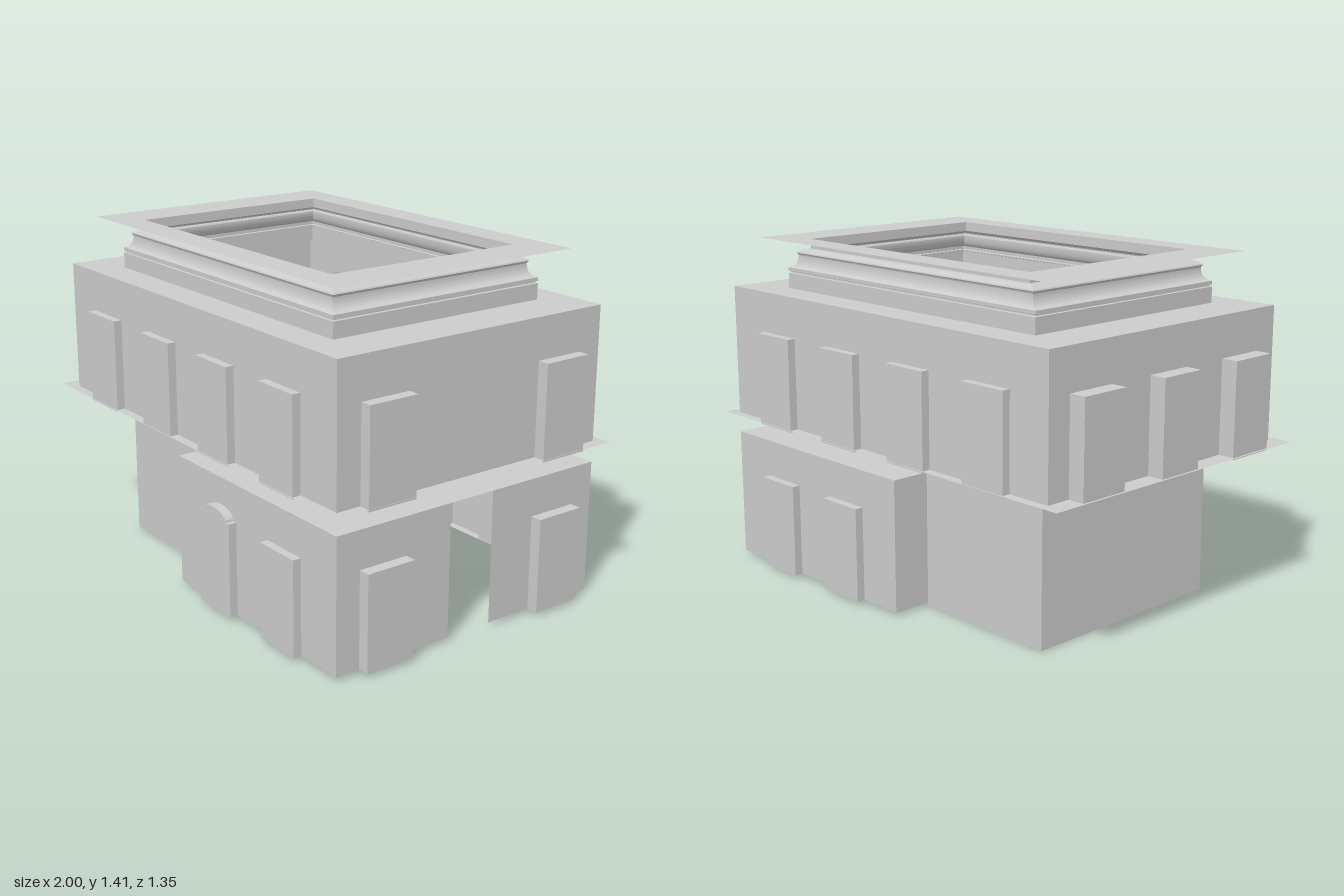
import * as THREE from 'three';

const mat = new THREE.MeshStandardMaterial({ color: 0xcccccc, side: THREE.DoubleSide });
const UP_FLOOR = 0.64, UP_TOP = 1.2, LOW_FLOOR = 0.015, LOW_TOP = 0.56;
const WALL_Z = 0.635, NECK_X = 0.73, NECK_Z = 0.468, LOW_X = -0.09;

function add(parent, name, geometry, x = 0, y = 0, z = 0) {
  const mesh = new THREE.Mesh(geometry, mat);
  mesh.name = name;
  mesh.position.set(x, y, z);
  parent.add(mesh);
  return mesh;
}

function rect(T, x0, y0, x1, y1) {
  return new T([[x0, y0], [x1, y0], [x1, y1], [x0, y1]].map(p => new THREE.Vector2(...p)));
}

// Thin horizontal plate, optionally with a rectangular opening [x0, x1, halfZ]
function plate(parent, name, y, x0, x1, halfZ, hole) {
  const s = rect(THREE.Shape, x0, -halfZ, x1, halfZ);
  if (hole) s.holes.push(rect(THREE.Path, hole[0], -hole[2], hole[1], hole[2]));
  add(parent, name, new THREE.ShapeGeometry(s).rotateX(-Math.PI / 2), 0, y);
}

// Thin wall with niches that bulge outwards and are open to the room.
// u runs along the wall, the local +z side is outside.
function wall(parent, name, angle, dist, u0, u1, y0, y1, niches = [], top = 0, depth = 0.035) {
  const g = new THREE.Group();
  g.name = name;
  const s = rect(THREE.Shape, u0, y0, u1, y1);
  for (const [a, b] of niches) {
    s.holes.push(rect(THREE.Path, a, y0 + 0.0005, b, top));
    const box = new THREE.BoxGeometry(b - a, top - y0, depth);
    box.setIndex(Array.from(box.index.array).slice(0, 30)); // no face on the room side
    box.clearGroups();
    add(g, 'niche', box, (a + b) / 2, (y0 + top) / 2, depth / 2);
  }
  add(g, 'wallPanel', new THREE.ShapeGeometry(s));
  g.rotation.y = angle;
  g.position.set(Math.sin(angle) * dist, 0, Math.cos(angle) * dist);
  parent.add(g);
}

// Stepped side profile rising towards negative u, with a level top to uEnd
function stepShape(u0, y0, run, rise, n, uEnd) {
  const s = new THREE.Shape();
  s.moveTo(u0, 0);
  if (y0 > 0) s.lineTo(u0, y0);
  for (let i = 0; i < n; i++) {
    s.lineTo(u0 - run * i, y0 + rise * (i + 1));
    s.lineTo(u0 - run * (i + 1), y0 + rise * (i + 1));
  }
  s.lineTo(uEnd, y0 + rise * n);
  s.lineTo(uEnd, 0);
  return s;
}

// Rectangular moulding: profile of [outward factor, y] swept round four sides
function cornice(parent) {
  const profile = [[1, 1.2], [1, 1.265], [0.9, 1.267], [0.9, 1.272], [1, 1.274], [1, 1.288]];
  for (let i = 0; i <= 8; i++) {
    const a = (i / 8) * Math.PI / 2;
    profile.push([0.94 - 0.4 * Math.sin(a), 1.29 + 0.05 * (1 - Math.cos(a))]);
  }
  profile.push([0.57, 1.345], [0.63, 1.35], [0.6, 1.355], [0.3, 1.368], [0, 1.37], [0, 1.41]);
  const corner = (p, k) => {
    const [sx, sz] = [[1, 1], [1, -1], [-1, -1], [-1, 1]][k % 4];
    return [0.015 + sx * (0.647 + 0.085 * p[0]), p[1], sz * (0.44 + 0.057 * p[0])];
  };
  const pos = [];
  for (let i = 0; i + 1 < profile.length; i++) {
    for (let k = 0; k < 4; k++) {
      const a = corner(profile[i], k), b = corner(profile[i], k + 1);
      const c = corner(profile[i + 1], k + 1), d = corner(profile[i + 1], k);
      pos.push(...a, ...b, ...c, ...a, ...c, ...d);
    }
  }
  const g = new THREE.BufferGeometry();
  g.setAttribute('position', new THREE.Float32BufferAttribute(pos, 3));
  g.computeVertexNormals();
  add(parent, 'cornice', g);
}

// Panelled double door with frame and curved pediment
function door(parent) {
  const g = new THREE.Group();
  g.name = 'door';
  const box = (name, w, h, d, x, y, z) => add(g, name, new THREE.BoxGeometry(w, h, d), x, y, z);
  box('doorLeaf', 0.17, 0.36, 0.008, 0, 0.195, 0.012);
  for (const s of [-1, 1]) {
    box('doorPost', 0.02, 0.37, 0.022, s * 0.092, 0.2, 0.01);
    for (let r = 0; r < 3; r++) box('doorPanel', 0.055, 0.085, 0.008, s * 0.04, 0.085 + r * 0.108, 0.006);
  }
  box('doorLintel', 0.205, 0.02, 0.03, 0, 0.394, 0.012);
  const arc = new THREE.Shape();
  arc.moveTo(-0.09, 0);
  for (let i = 1; i <= 12; i++) {
    const a = Math.PI * (1 - i / 12);
    arc.lineTo(0.09 * Math.cos(a), 0.042 * Math.sin(a));
  }
  add(g, 'doorPediment', new THREE.ExtrudeGeometry(arc, { depth: 0.05, bevelEnabled: false }), 0, 0.406, -0.012);
  g.position.set(0.215, 0, WALL_Z);
  parent.add(g);
}

export function createModel() {
  const model = new THREE.Group();
  model.name = 'galleryHall';
  const PI = Math.PI;
  const flip = list => list.map(([a, b]) => [-b, -a]);

  // Upper storey
  const upper = [[-0.73, -0.515], [-0.3, -0.09], [0.11, 0.32], [0.53, 0.74]];
  const ends = [[-0.53, -0.315], [0.315, 0.53]];
  wall(model, 'upperFrontWall', 0, WALL_Z, -0.92, 0.95, UP_FLOOR, UP_TOP, upper, 1.03);
  wall(model, 'upperBackWall', PI, WALL_Z, -0.95, 0.92, UP_FLOOR, UP_TOP, flip(upper), 1.03);
  wall(model, 'upperRightEndWall', PI / 2, 0.95, -WALL_Z, WALL_Z, UP_FLOOR, UP_TOP, ends, 1.03, 0.048);
  wall(model, 'upperLeftEndWall', -PI / 2, 0.92, -WALL_Z, WALL_Z, UP_FLOOR, UP_TOP,
    [ends[0], [-0.105, 0.1], ends[1]], 1.03, 0.07);
  plate(model, 'upperFloor', 0.648, -1, 1, 0.675, [-NECK_X, NECK_X, NECK_Z]);
  plate(model, 'upperCeiling', UP_TOP, -0.92, 0.95, WALL_Z, [-0.717, 0.747, 0.497]);
  cornice(model);
  plate(model, 'roofPlate', 1.41, -0.82, 0.85, 0.565, [-0.632, 0.662, 0.44]);

  // Lower storey
  const lower = [[0.11, 0.32], [0.53, 0.74]];
  wall(model, 'lowerFrontWall', 0, WALL_Z, LOW_X, 0.95, LOW_FLOOR, LOW_TOP, lower, 0.405);
  wall(model, 'lowerBackWall', PI, WALL_Z, -0.95, -LOW_X, LOW_FLOOR, LOW_TOP, flip(lower), 0.405);
  wall(model, 'lowerEndWallBack', PI / 2, 0.95, 0.105, WALL_Z, LOW_FLOOR, LOW_TOP, [ends[1]], 0.405, 0.048);
  wall(model, 'lowerEndWallFront', PI / 2, 0.95, -WALL_Z, -0.105, LOW_FLOOR, LOW_TOP, [ends[0]], 0.405, 0.048);
  plate(model, 'lowerCeiling', LOW_TOP, LOW_X, 0.95, WALL_Z, [LOW_X + 0.0005, NECK_X, NECK_Z]);
  for (const s of [-1, 1]) {
    const [a, b] = s > 0 ? [NECK_Z, WALL_Z] : [-WALL_Z, -NECK_Z];
    wall(model, 'returnWall', -PI / 2, -LOW_X, a, b, LOW_FLOOR, LOW_TOP);
  }
  door(model);

  // Stair well walls and the rim between the storeys
  wall(model, 'wellFrontWall', 0, NECK_Z, -NECK_X, LOW_X, 0, UP_FLOOR + 0.008);
  wall(model, 'wellBackWall', PI, NECK_Z, -LOW_X, NECK_X, 0, UP_FLOOR + 0.008);
  wall(model, 'wellEndWall', -PI / 2, NECK_X, -NECK_Z, NECK_Z, 0, UP_FLOOR + 0.008);
  wall(model, 'rimFront', 0, NECK_Z, LOW_X, NECK_X, LOW_TOP, UP_FLOOR + 0.008);
  wall(model, 'rimBack', PI, NECK_Z, -NECK_X, -LOW_X, LOW_TOP, UP_FLOOR + 0.008);
  wall(model, 'rimEnd', PI / 2, NECK_X, -NECK_Z, NECK_Z, LOW_TOP, UP_FLOOR + 0.008);

  // Mirrored stairs: a flight along each side, a corner landing, a flight to the middle
  const first = new THREE.ExtrudeGeometry(stepShape(-0.2, 0, 0.03, 0.028, 12, -0.728), { depth: 0.148, bevelEnabled: false });
  const second = new THREE.ExtrudeGeometry(stepShape(0.32, 0.336, 0.0218, 0.0278, 11, 0), { depth: 0.168, bevelEnabled: false });
  for (const s of [-1, 1]) {
    add(model, 'lowerFlight', first, 0, 0, s > 0 ? 0.318 : -0.466);
    const flight = add(model, 'upperFlight', second, s > 0 ? -0.56 : -0.728, 0, 0);
    flight.rotation.y = -s * PI / 2;
  }

  // Slender column at the corner of the well
  const column = new THREE.Group();
  column.name = 'column';
  add(column, 'columnShaft', new THREE.CylinderGeometry(0.007, 0.008, 0.55, 12), 0, 0.28, 0);
  add(column, 'columnBase', new THREE.CylinderGeometry(0.011, 0.011, 0.015, 12), 0, 0.0075, 0);
  add(column, 'columnCapital', new THREE.CylinderGeometry(0.012, 0.009, 0.015, 12), 0, 0.556, 0);
  column.position.set(0.738, 0, 0.482);
  model.add(column);

  return model;
}
